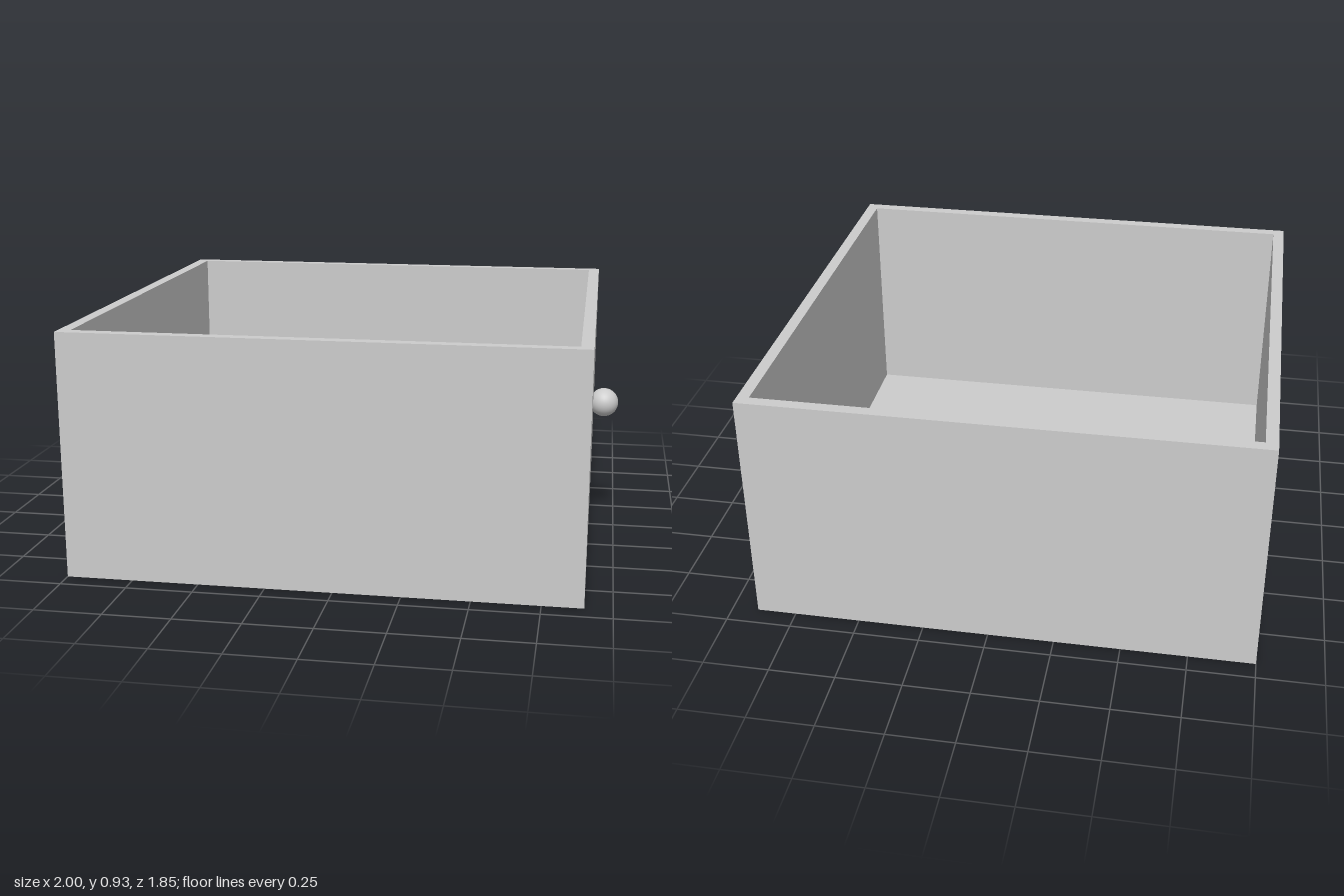
import * as THREE from 'three';

const WIDTH = 1.9, DEPTH = 1.85, HEIGHT = 0.925, WALL = 0.045;
const CENTRE_X = -0.05;
const KNOB_RADIUS = 0.057;

// Traces a centred rectangle on a Shape or Path
function rectangle(path, w, d) {
  path.moveTo(-w / 2, -d / 2);
  path.lineTo(w / 2, -d / 2);
  path.lineTo(w / 2, d / 2);
  path.lineTo(-w / 2, d / 2);
  path.closePath();
  return path;
}

export function createModel() {
  const group = new THREE.Group();
  group.name = 'drawer';
  const material = new THREE.MeshStandardMaterial({ color: 0xcccccc });

  function add(name, geometry, x, y, z) {
    const mesh = new THREE.Mesh(geometry, material);
    mesh.name = name;
    mesh.position.set(x, y, z);
    group.add(mesh);
  }

  const innerWidth = WIDTH - 2 * WALL, innerDepth = DEPTH - 2 * WALL;

  // Four walls as one hollow frame, extruded upwards
  const outline = rectangle(new THREE.Shape(), WIDTH, DEPTH);
  outline.holes.push(rectangle(new THREE.Path(), innerWidth, innerDepth));
  const walls = new THREE.ExtrudeGeometry(outline, { depth: HEIGHT, bevelEnabled: false });
  walls.rotateX(-Math.PI / 2);
  add('walls', walls, CENTRE_X, 0, 0);

  // Floor panel set between the walls
  add('floor', new THREE.BoxGeometry(innerWidth, WALL, innerDepth), CENTRE_X, WALL / 2, 0);

  // Round knob, slightly sunk into the +x wall
  add('knob', new THREE.SphereGeometry(KNOB_RADIUS, 32, 20), 1 - KNOB_RADIUS, 0.52, 0);

  return group;
}
